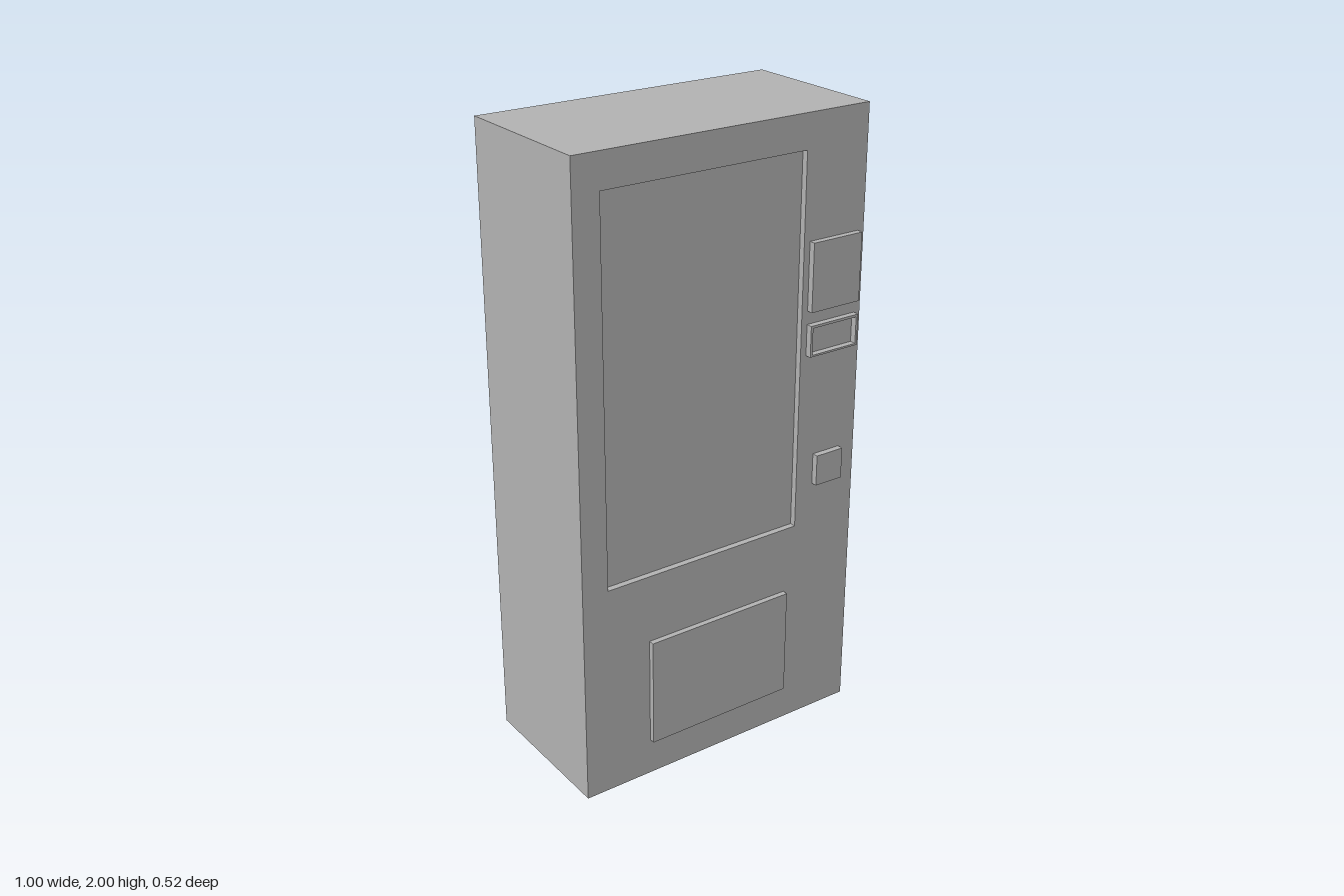
import * as THREE from 'three';

const casing = new THREE.MeshStandardMaterial({ color: 0xb2b2b2, side: THREE.DoubleSide });
casing.name = 'casing grey';

const BACK = -0.26, FRONT = 0.24;

// Face numbers of a box: 0 +x, 1 -x, 2 +y, 3 -y, 4 +z, 5 -z
function openBox(name, [x0, x1, y0, y1], z0, z1, openFaces) {
  const geometry = new THREE.BoxGeometry(x1 - x0, y1 - y0, z1 - z0);
  const index = Array.from(geometry.index.array);
  geometry.setIndex(index.filter((v, i) => !openFaces.includes(Math.floor(i / 6))));
  geometry.clearGroups();
  // A pocket is seen from within, so its faces are turned inwards
  geometry.translate((x0 + x1) / 2, (y0 + y1) / 2, (z0 + z1) / 2);
  const mesh = new THREE.Mesh(geometry, casing);
  mesh.name = name;
  return mesh;
}

// Flat panel facing +z with rectangular openings
function panel(name, rect, z, openings) {
  const corners = ([x0, x1, y0, y1]) =>
    [[x0, y0], [x1, y0], [x1, y1], [x0, y1]].map(([x, y]) => new THREE.Vector2(x, y));
  const shape = new THREE.Shape(corners(rect));
  shape.holes = openings.map((o) => new THREE.Path(corners(o).reverse()));
  const mesh = new THREE.Mesh(new THREE.ShapeGeometry(shape).translate(0, 0, z), casing);
  mesh.name = name;
  return mesh;
}

export function createModel() {
  const model = new THREE.Group();
  model.name = 'vendingMachine';

  // Rectangles as left, right, bottom, top in the front plane
  const body = [-0.5, 0.5, 0, 2];
  const display = [-0.413, 0.277, 0.7, 1.893];
  const keypad = [0.298, 0.478, 1.408, 1.622];
  const slot = [0.298, 0.478, 1.267, 1.366];
  const slotOpening = [0.306, 0.471, 1.273, 1.358];
  const coinButton = [0.34, 0.44, 0.831, 0.932];
  const hatch = [-0.27, 0.24, 0.122, 0.478];

  // Hollow cabinet, open underneath, with its front panel
  model.add(openBox('cabinet', body, BACK, FRONT, [3, 4]));
  model.add(panel('frontPanel', body, FRONT, [display, keypad, slot, coinButton, hatch]));

  // Sunken display window
  model.add(openBox('displayWindow', display, FRONT - 0.02, FRONT, [4]));
  // Raised controls and delivery hatch, hollow behind
  model.add(openBox('keypad', keypad, FRONT, 0.26, [5]));
  model.add(openBox('coinButton', coinButton, FRONT, 0.26, [5]));
  model.add(openBox('deliveryHatch', hatch, FRONT, 0.258, [5]));

  // Raised payment slot with a sunken centre
  const payment = new THREE.Group();
  payment.name = 'paymentSlot';
  payment.add(openBox('slotSides', slot, FRONT, 0.26, [4, 5]));
  payment.add(panel('slotFrame', slot, 0.26, [slotOpening]));
  payment.add(openBox('slotRecess', slotOpening, FRONT, 0.26, [4, 5]));
  payment.add(panel('slotFloor', slotOpening, FRONT, []));
  model.add(payment);

  return model;
}
